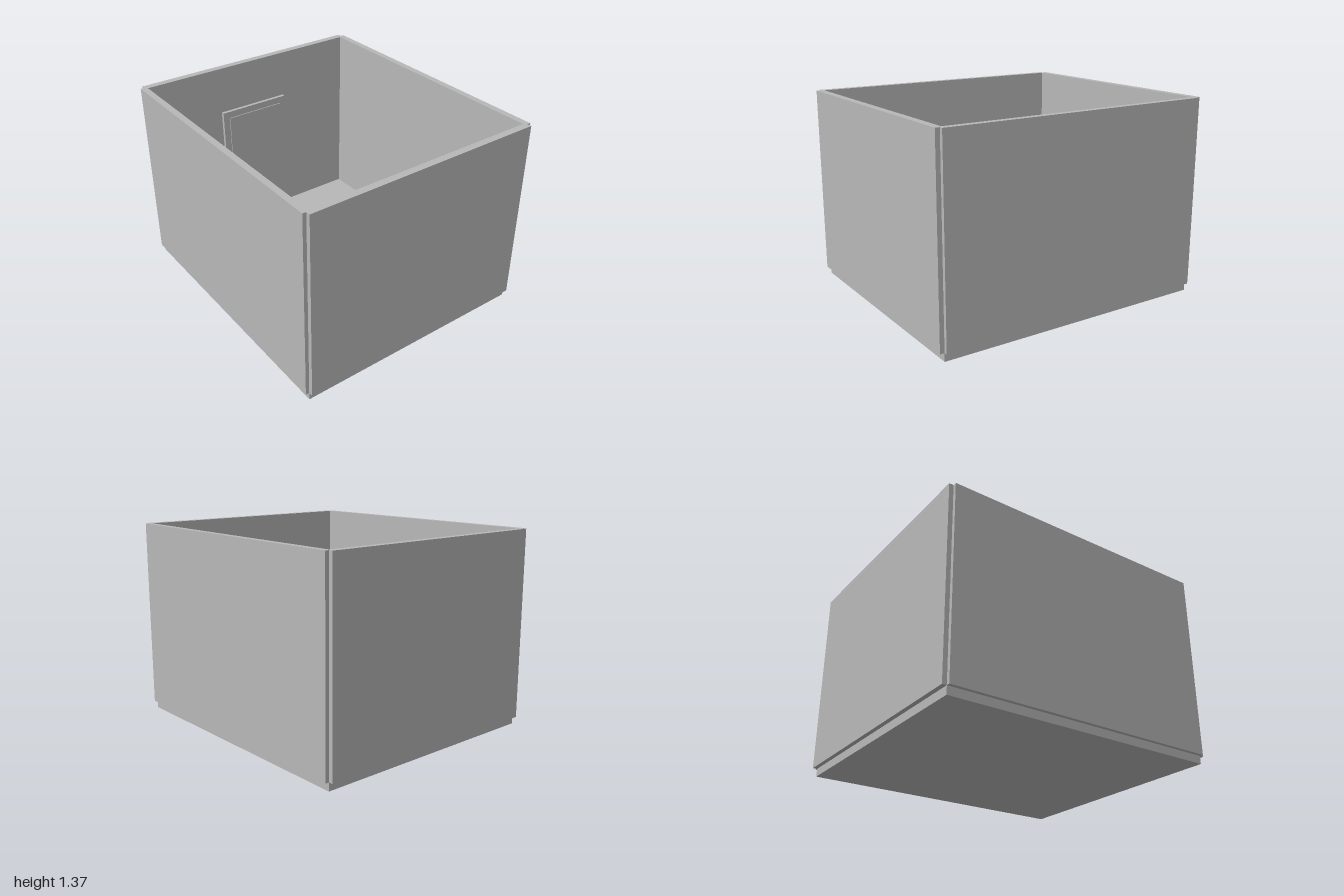
import * as THREE from 'three';

const plaster = new THREE.MeshStandardMaterial({ color: 0xb8b8b8 });
plaster.name = 'plain grey';

// Box given by its two extreme corners
function block(parent, name, [x0, y0, z0], [x1, y1, z1]) {
  const mesh = new THREE.Mesh(new THREE.BoxGeometry(x1 - x0, y1 - y0, z1 - z0), plaster);
  mesh.position.set((x0 + x1) / 2, (y0 + y1) / 2, (z0 + z1) / 2);
  mesh.name = name;
  parent.add(mesh);
  return mesh;
}

function group(parent, name) {
  const g = new THREE.Group();
  g.name = name;
  parent.add(g);
  return g;
}

export function createModel() {
  const room = new THREE.Group();
  room.name = 'openRoom';
  const floorTop = 0.055, wallTop = 1.365;

  // Floor slab, set in from the outer wall faces
  block(room, 'floor', [-0.85, 0, -0.97], [0.85, floorTop, 0.97]);

  // Walls, leaving a small notch at every corner
  block(room, 'frontWall', [-0.85, floorTop, 0.95], [0.85, wallTop, 1]);
  block(room, 'backWall', [-0.85, floorTop, -1], [0.85, wallTop, -0.95]);
  block(room, 'leftWall', [0.83, floorTop, -0.97], [0.875, wallTop, 0.97]);
  block(room, 'rightWall', [-0.875, floorTop, -0.97], [-0.83, wallTop, 0.97]);

  // Door with its frame on the inside of the back wall
  const door = group(room, 'door');
  block(door, 'doorFrame', [-0.275, floorTop, -0.95], [0.27, 1.02, -0.925]);
  block(door, 'doorPanel', [-0.225, floorTop, -0.925], [0.22, 0.97, -0.918]);

  // Table near the front wall
  const table = group(room, 'table');
  const tableTop = 0.565;
  block(table, 'tableTop', [-0.315, tableTop - 0.05, 0.445], [0.315, tableTop, 0.77]);
  for (const x of [-0.315, 0.265])
    for (const z of [0.445, 0.72])
      block(table, 'tableLeg', [x, floorTop, z], [x + 0.05, tableTop - 0.05, z + 0.05]);

  // Two small upright blocks standing on the table
  block(table, 'smallBlock', [0.09, tableTop, 0.48], [0.147, 0.68, 0.533]);
  block(table, 'smallBlock', [0.19, tableTop, 0.44], [0.243, 0.68, 0.493]);

  // Stepped diagonal bar lying on the floor
  const bar = group(room, 'steppedBar');
  const steps = 5;
  for (let i = 0; i < steps; i++) {
    const x = 0.19 + (0.095 * i) / (steps - 1);
    const z = 0.37 - (0.065 * i) / (steps - 1);
    block(bar, 'barStep', [x, floorTop, z], [x + 0.03, floorTop + 0.03, z + 0.03]);
  }
  return room;
}
